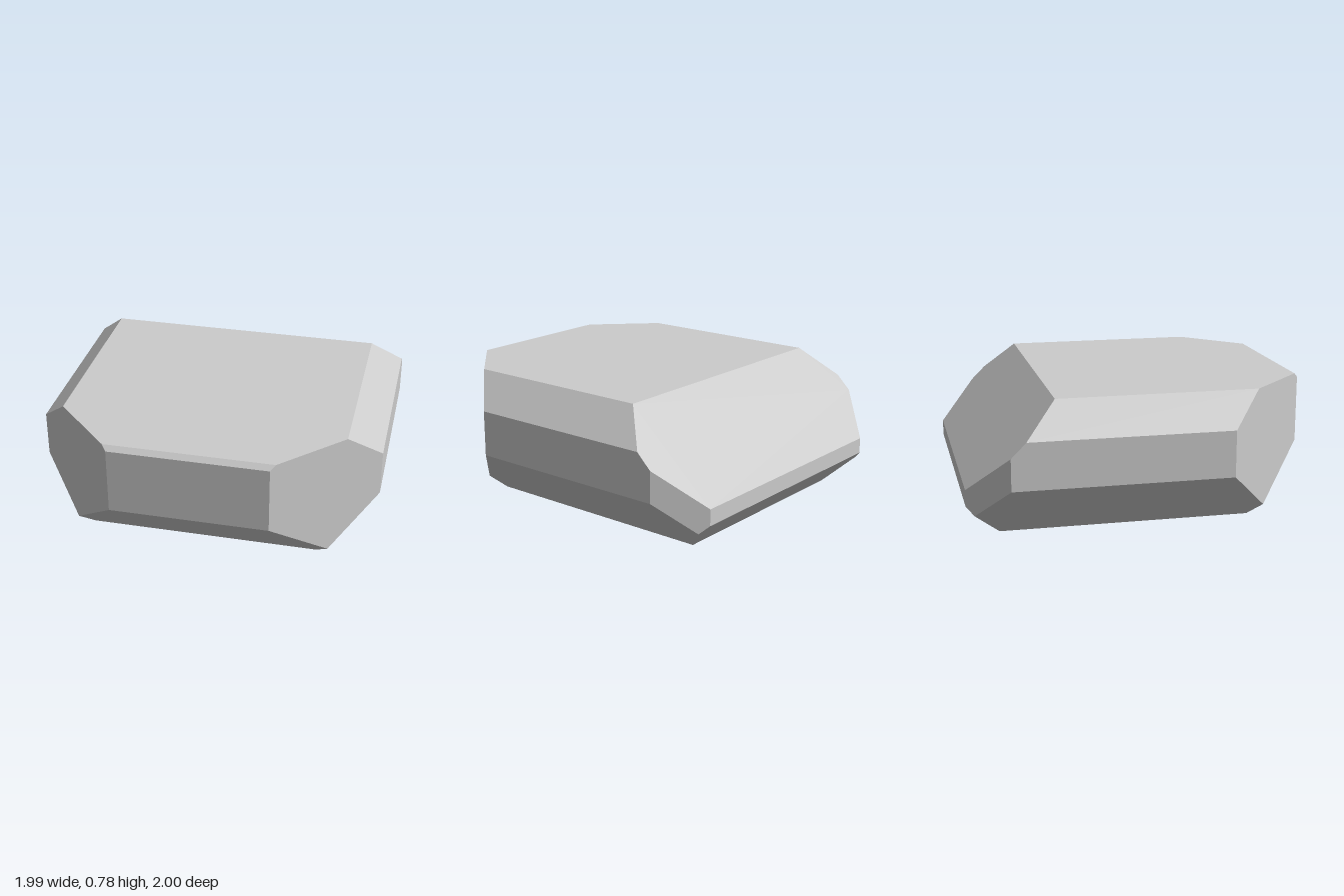
import * as THREE from 'three';
import { ConvexGeometry } from 'three/addons/geometries/ConvexGeometry.js';

// A block with bevelled edges: each row [nx, ny, nz, d] keeps the points where n . p <= d.
// Rows with nx = 1 are mirrored to the other side.
const CUTS = [
  [0, -1, 0, 0], [0, 1, 0, 0.777],            // bottom, top
  [0, 0, 1, 1], [0, 0, -1, 1],                // front, back
  [0, 1, 1, 1.75], [0, -1, 1, 0.635],         // front bevels, upper and lower
  [0, 1, -1, 1.287], [0, -1, -1, 0.807],      // back slope, lower back bevel
  [1, 0, 0, 0.995],                           // sides
  [1, 1, 0, 1.589], [1, -1, 0, 0.666],        // side bevels, upper and lower
  [1, 0, 1, 1.45], [1, 0, -1, 1.772],         // upright corner bevels
];

// Corners are the meeting points of three cuts that lie inside all the others.
function cornersOf(cuts) {
  const found = new Map();
  const m = new THREE.Matrix3();
  for (let i = 0; i < cuts.length; i++) {
    for (let j = i + 1; j < cuts.length; j++) {
      for (let k = j + 1; k < cuts.length; k++) {
        const [a, b, c] = [cuts[i], cuts[j], cuts[k]];
        m.set(a[0], a[1], a[2], b[0], b[1], b[2], c[0], c[1], c[2]);
        if (Math.abs(m.determinant()) < 1e-6) continue;
        const p = new THREE.Vector3(a[3], b[3], c[3]).applyMatrix3(m.invert());
        const inside = cuts.every(([x, y, z, d]) => x * p.x + y * p.y + z * p.z <= d + 1e-6);
        const key = p.toArray().map((v) => Math.round(v * 1e4)).join();
        if (inside) found.set(key, p);
      }
    }
  }
  return [...found.values()];
}

export function createModel() {
  const group = new THREE.Group();
  group.name = 'bevelledBlock';

  const mirrored = CUTS.filter((c) => c[0] > 0).map(([x, y, z, d]) => [-x, y, z, d]);
  const body = new THREE.Mesh(
    new ConvexGeometry(cornersOf([...CUTS, ...mirrored])),
    new THREE.MeshStandardMaterial({ color: 0xcccccc, flatShading: true })
  );
  body.name = 'body';
  group.add(body);
  return group;
}
